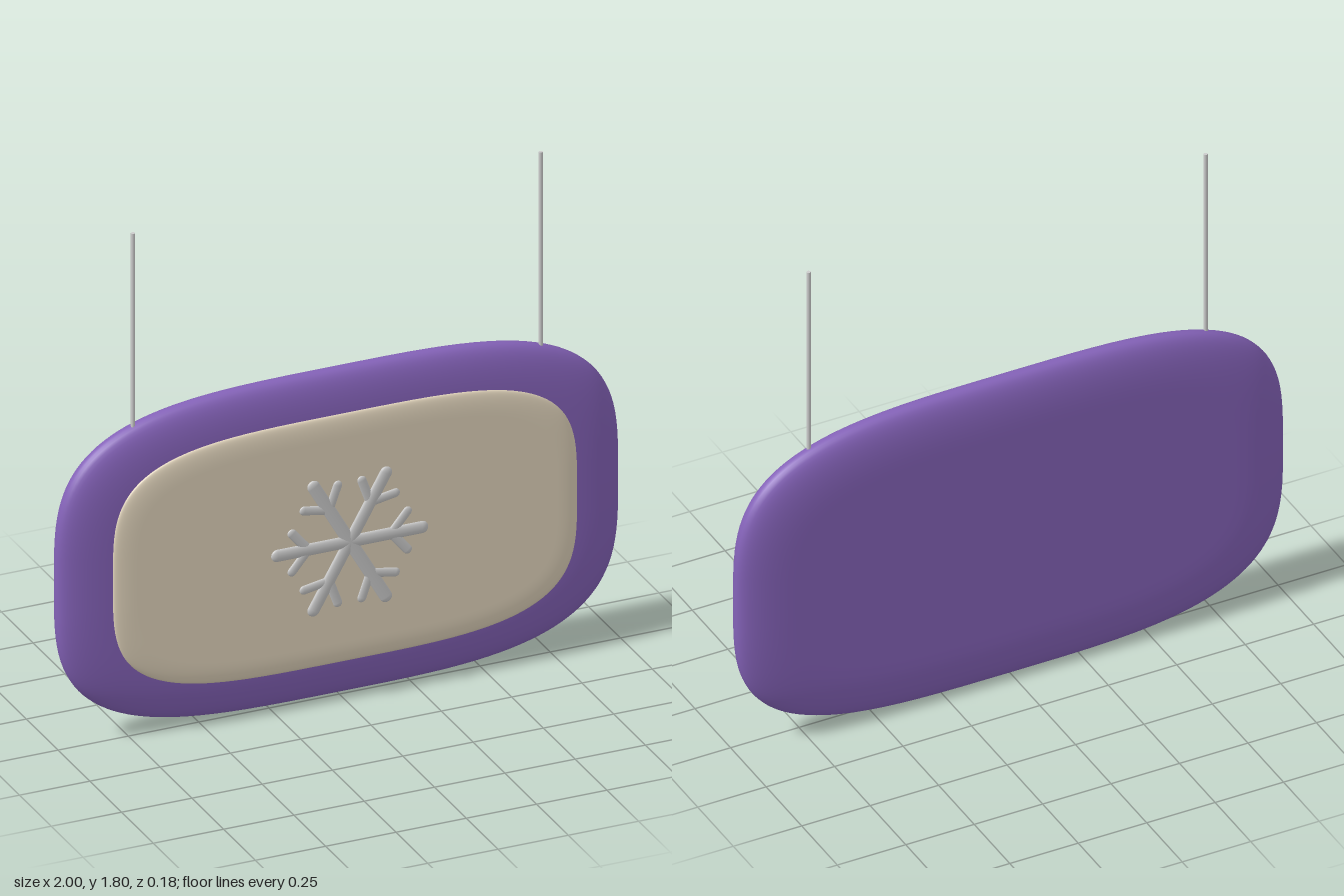
import * as THREE from 'three';

// Rounded slab: rings of a superellipse, inset and thickened along a soft edge profile
function pillow(a, b, n, half, edge, m) {
  const SEG = 128, STEPS = 12, pos = [], idx = [];
  const rings = [];
  for (let i = -STEPS; i <= STEPS; i++) {
    const k = Math.sin((1 - Math.abs(i) / STEPS) * Math.PI / 2);
    const out = Math.pow(k, 2 / m);
    const z = Math.pow(1 - Math.pow(out, m), 1 / m) * half * Math.sign(i);
    rings.push([edge * (1 - out), z]);
  }
  const curve = v => Math.sign(v) * Math.pow(Math.abs(v), 2 / n);
  for (const [inset, z] of rings) {
    for (let j = 0; j < SEG; j++) {
      const t = (j / SEG) * Math.PI * 2;
      pos.push((a - inset) * curve(Math.cos(t)), (b - inset) * curve(Math.sin(t)), z);
    }
  }
  const back = pos.length / 3, front = back + 1, last = (rings.length - 1) * SEG;
  pos.push(0, 0, -half, 0, 0, half);
  for (let j = 0; j < SEG; j++) {
    const k = (j + 1) % SEG;
    for (let i = 0; i < rings.length - 1; i++) {
      const p = i * SEG, q = p + SEG;
      idx.push(p + j, p + k, q + k, p + j, q + k, q + j);
    }
    idx.push(back, k, j, last + j, last + k, front);
  }
  const g = new THREE.BufferGeometry();
  g.setAttribute('position', new THREE.Float32BufferAttribute(pos, 3));
  g.setIndex(idx);
  g.computeVertexNormals();
  return g;
}

export function createModel() {
  const model = new THREE.Group();
  const purple = new THREE.MeshStandardMaterial({ color: 0x8462b8 });
  const cream = new THREE.MeshStandardMaterial({ color: 0xdfd2ba });
  const grey = new THREE.MeshStandardMaterial({ color: 0xcccccc });

  const add = (parent, name, geometry, material, x = 0, y = 0, z = 0) => {
    const mesh = new THREE.Mesh(geometry, material);
    mesh.name = name;
    mesh.position.set(x, y, z);
    parent.add(mesh);
    return mesh;
  };

  // Sign board and raised face panel
  add(model, 'board', pillow(1, 0.585, 3.5, 0.061, 0.2, 2.4), purple, 0, 0.587, -0.026);
  add(model, 'facePanel', pillow(0.825, 0.447, 3.75, 0.015, 0.08, 2.2), cream, 0, 0.59, 0.045);

  // Hanging cords
  for (const side of [-1, 1]) {
    add(model, side > 0 ? 'leftCord' : 'rightCord',
      new THREE.CylinderGeometry(0.007, 0.007, 0.72, 12), grey, side * 0.725, 1.445, -0.02);
  }

  // Snowflake: six flattened arms, each with a pair of twigs
  const flake = new THREE.Group();
  flake.name = 'snowflake';
  flake.position.set(0, 0.59, 0.082);
  flake.scale.z = 0.4;
  model.add(flake);
  const bar = (parent, name, radius, length, x, angle) => {
    const g = new THREE.CapsuleGeometry(radius, length, 6, 16);
    g.rotateZ(-Math.PI / 2).translate(length / 2, 0, 0);
    add(parent, name, g, grey, x).rotation.z = angle;
  };
  for (let i = 0; i < 6; i++) {
    const arm = new THREE.Group();
    arm.name = 'snowflakeArm';
    arm.rotation.z = i * Math.PI / 3;
    flake.add(arm);
    bar(arm, 'armBar', 0.022, 0.257, 0, 0);
    for (const s of [-1, 1]) bar(arm, 'twig', 0.016, 0.09, 0.147, s * 0.87);
  }
  return model;
}
